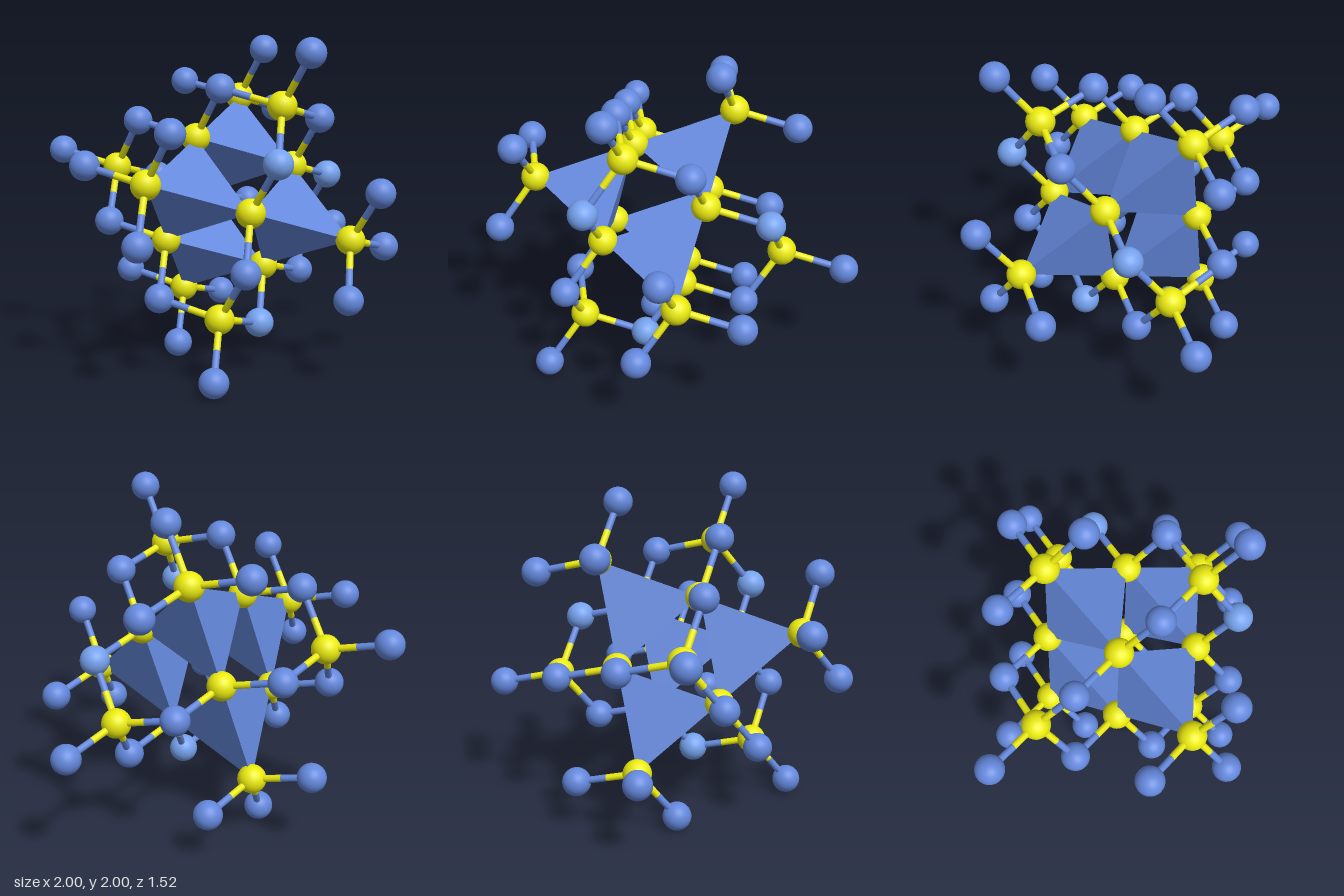
import * as THREE from 'three';
import { ConvexGeometry } from 'three/addons/geometries/ConvexGeometry.js';

// Half-cell step of the tilted cubic lattice: (A, B) across the front, S in depth
const A = 0.397, B = 0.212, S = 0.45;
const ATOM_R = 0.087, BOND_R = 0.021;

const place = ([i, j, k]) => new THREE.Vector3(i * A + j * B, 1 + i * B - j * A, k * S);

export function createModel() {
  const model = new THREE.Group();
  const yellow = new THREE.MeshStandardMaterial({ color: 0xeaea10 });
  const blue = new THREE.MeshStandardMaterial({ color: 0x6488dc });
  const paleBlue = new THREE.MeshStandardMaterial({ color: 0x76a2ee });

  const sphere = new THREE.SphereGeometry(ATOM_R, 32, 20);
  const rod = new THREE.CylinderGeometry(BOND_R, BOND_R, 1, 16, 1, true);
  const up = new THREE.Vector3(0, 1, 0);

  const group = (name) => {
    const g = new THREE.Group();
    g.name = name;
    model.add(g);
    return g;
  };
  const yellowAtoms = group('yellowAtoms');
  const blueAtoms = group('blueAtoms');
  const bonds = group('bonds');
  const tetrahedra = group('tetrahedra');

  function addAtom(parent, name, position, material) {
    const mesh = new THREE.Mesh(sphere, material);
    mesh.name = name;
    mesh.position.copy(position);
    parent.add(mesh);
  }

  function addHalfBond(name, from, to, material) {
    const dir = to.clone().sub(from);
    const mesh = new THREE.Mesh(rod, material);
    mesh.name = name;
    mesh.position.copy(from).add(to).multiplyScalar(0.5);
    mesh.scale.y = dir.length();
    mesh.quaternion.setFromUnitVectors(up, dir.normalize());
    bonds.add(mesh);
  }

  // Yellow atoms: corners and face centres of the cube, each with four neighbours
  const offsets = [[1, -1, 1], [-1, 1, 1], [1, 1, -1], [-1, -1, -1]];
  const neighbours = new Map();
  for (let i = -1; i <= 1; i++) for (let j = -1; j <= 1; j++) for (let k = -1; k <= 1; k++) {
    if ((i + j + k + 3) % 2 !== 0) continue;
    const p = place([i, j, k]);
    addAtom(yellowAtoms, 'yellowAtom', p, yellow);
    for (const o of offsets) {
      const site = [i + o[0] / 2, j + o[1] / 2, k + o[2] / 2];
      const key = site.join();
      if (!neighbours.has(key)) neighbours.set(key, { site, corners: [] });
      neighbours.get(key).corners.push(p);
    }
  }

  // Blue atoms, two-coloured bonds, and a solid tetrahedron round each full site
  const pale = ['0.5,-0.5,1.5', '1.5,0.5,-0.5', '-0.5,1.5,0.5'];
  for (const [key, { site, corners }] of neighbours) {
    const q = place(site);
    addAtom(blueAtoms, 'blueAtom', q, pale.includes(key) ? paleBlue : blue);
    for (const p of corners) {
      const mid = p.clone().lerp(q, 0.5);
      addHalfBond('yellowHalfBond', p, mid, yellow);
      addHalfBond('blueHalfBond', mid, q, blue);
    }
    if (corners.length === 4) {
      const mesh = new THREE.Mesh(new ConvexGeometry(corners), blue);
      mesh.name = 'tetrahedron';
      tetrahedra.add(mesh);
    }
  }
  return model;
}
